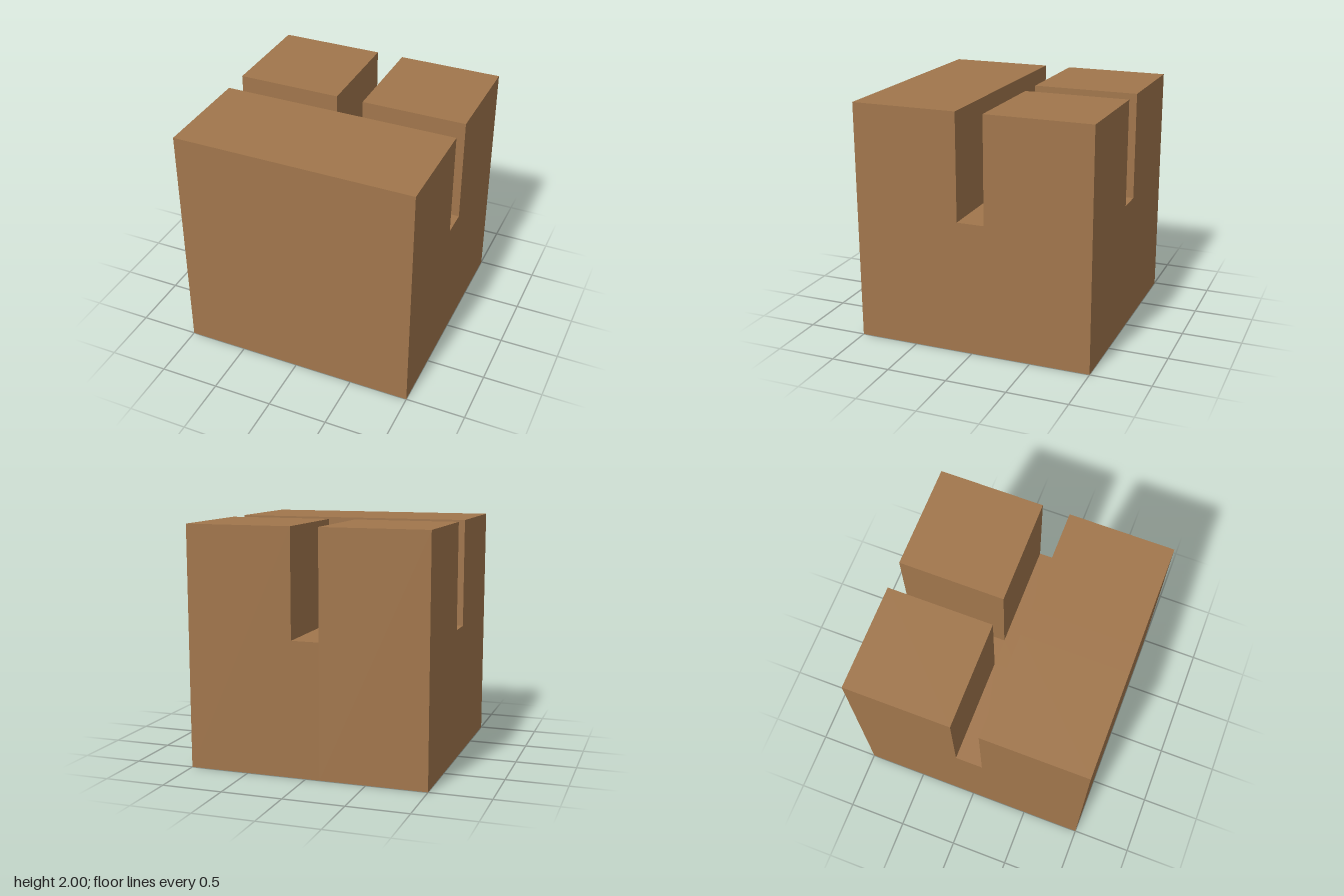
import * as THREE from 'three';

const SLOT = 0.115;   // half width of the slots
const FLOOR = 1.11;   // height of the slot floors
const TOP = 2;
const cuts = [-1, -SLOT, SLOT, 1];

// Height of each cell: rows run back to front, columns left to right along x
const heights = [
  [TOP, FLOOR, TOP],
  [FLOOR, FLOOR, FLOOR],
  [TOP, TOP, TOP],
];

// One closed skin: a top per cell and a wall wherever the neighbour is lower
function steppedBlock() {
  const positions = [];
  const quad = (a, b, c, d) => positions.push(...a, ...b, ...c, ...a, ...c, ...d);
  const wall = ([xa, za], [xb, zb], low, high) => {
    if (high > low) quad([xa, low, za], [xb, low, zb], [xb, high, zb], [xa, high, za]);
  };
  const heightAt = (row, col) => heights[row]?.[col] ?? 0;

  for (let row = 0; row < 3; row++) {
    for (let col = 0; col < 3; col++) {
      const x0 = cuts[col], x1 = cuts[col + 1];
      const z0 = cuts[row], z1 = cuts[row + 1];
      const h = heights[row][col];
      quad([x0, h, z1], [x1, h, z1], [x1, h, z0], [x0, h, z0]);
      wall([x0, z1], [x1, z1], heightAt(row + 1, col), h);
      wall([x1, z0], [x0, z0], heightAt(row - 1, col), h);
      wall([x1, z1], [x1, z0], heightAt(row, col + 1), h);
      wall([x0, z0], [x0, z1], heightAt(row, col - 1), h);
    }
  }
  // Underside
  quad([-1, 0, -1], [1, 0, -1], [1, 0, 1], [-1, 0, 1]);

  const geometry = new THREE.BufferGeometry();
  geometry.setAttribute('position', new THREE.Float32BufferAttribute(positions, 3));
  geometry.computeVertexNormals();
  return geometry;
}

export function createModel() {
  const group = new THREE.Group();
  group.name = 'slottedWoodBlock';

  // Wooden block with a T-shaped slot cut from the top
  const wood = new THREE.MeshStandardMaterial({ color: 0xa1764c });
  const block = new THREE.Mesh(steppedBlock(), wood);
  block.name = 'block';
  group.add(block);

  return group;
}
